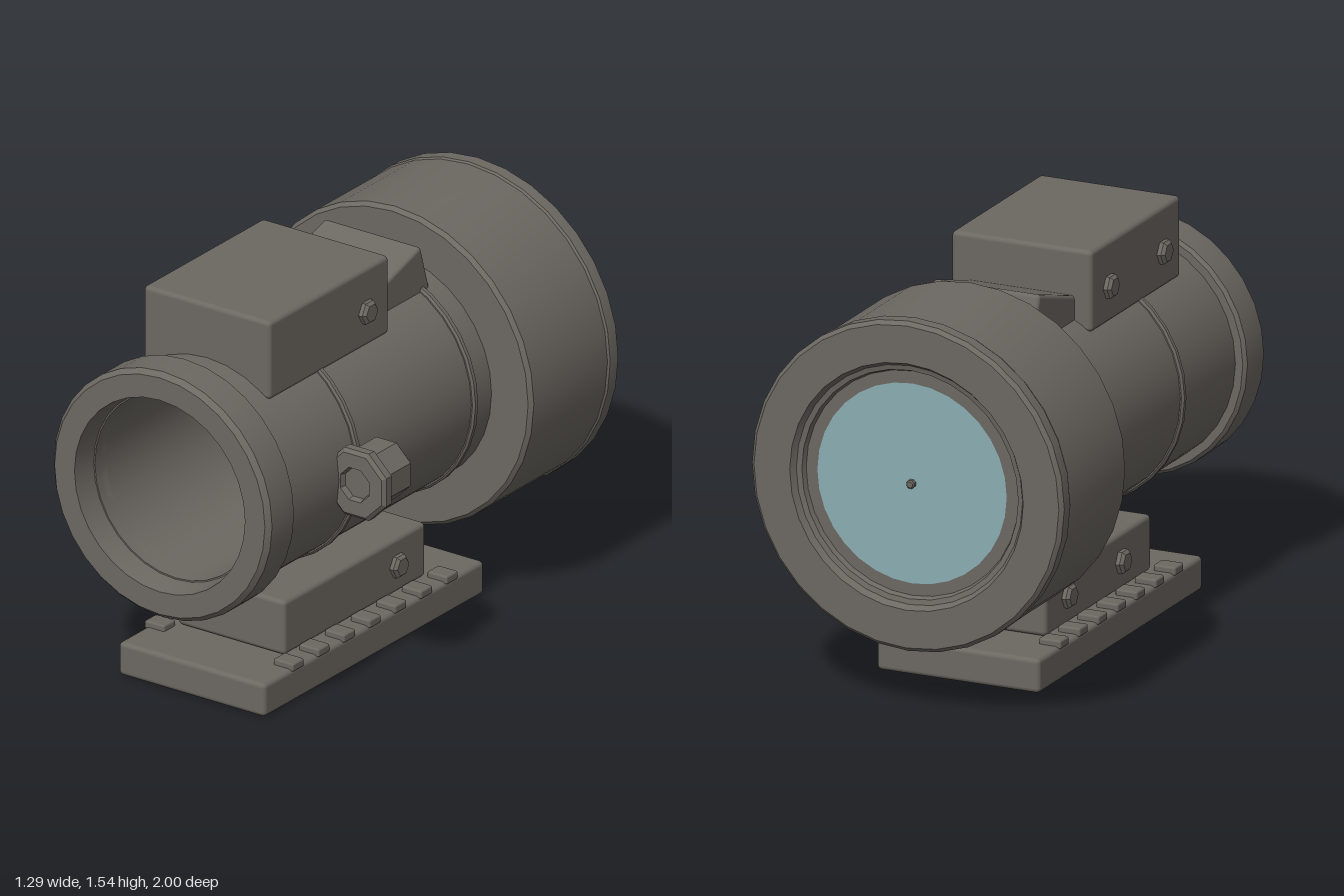
import * as THREE from 'three';
import { toCreasedNormals } from 'three/addons/utils/BufferGeometryUtils.js';
import { RoundedBoxGeometry } from 'three/addons/geometries/RoundedBoxGeometry.js';

const CX = -0.013; // optical axis
const CY = 0.88;

export function createModel() {
  const model = new THREE.Group();
  model.name = 'opticalSight';
  const metal = new THREE.MeshStandardMaterial({ color: 0x6c6862 });
  metal.name = 'darkMetal';
  const glass = new THREE.MeshStandardMaterial({ color: 0x8aacb2, side: THREE.DoubleSide });
  glass.name = 'paleBlueGlass';

  function add(name, geometry, x, y, z, material = metal) {
    const mesh = new THREE.Mesh(geometry, material);
    mesh.name = name;
    mesh.position.set(x, y, z);
    model.add(mesh);
    return mesh;
  }

  // Box given by its extents, with softened edges
  function box(name, x0, x1, y0, y1, z0, z1, r = 0.018) {
    const g = new RoundedBoxGeometry(x1 - x0, y1 - y0, z1 - z0, 2, r);
    return add(name, g, (x0 + x1) / 2, (y0 + y1) / 2, (z0 + z1) / 2);
  }

  // Profile of [radius, z] revolved about the z axis
  function turned(profile, sides = 32, crease = 0.5) {
    const g = new THREE.LatheGeometry(profile.map(([r, z]) => new THREE.Vector2(r, z)), sides);
    if (sides < 12) g.rotateY(Math.PI / sides);
    g.rotateX(Math.PI / 2);
    return toCreasedNormals(g, crease);
  }

  // Main tube, open through the middle
  add('mainTube', turned([[0.45, -0.6], [0.45, 0.9], [0.365, 0.9], [0.365, -0.95], [0.45, -0.95], [0.45, -0.6]]), CX, CY, 0);

  // Front collar with a slightly tapered opening
  add('frontCollar', turned([
    [0.365, 0.83], [0.48, 0.83], [0.493, 0.843], [0.493, 0.98], [0.475, 1],
    [0.385, 1], [0.365, 0.86], [0.365, 0.83],
  ]), CX, CY, 0);

  // Wide rear housing and its end rim
  add('rearHousing', turned([
    [0.44, -0.925], [0.63, -0.925], [0.63, -0.465], [0.615, -0.45], [0.44, -0.45], [0.44, -0.925],
  ]), CX, CY, 0);
  add('rearRim', turned([
    [0.39, -0.945], [0.43, -0.945], [0.44, -0.97], [0.46, -0.975], [0.475, -1], [0.62, -1],
    [0.635, -0.985], [0.635, -0.935], [0.625, -0.925], [0.39, -0.925], [0.39, -0.945],
  ]), CX, CY, 0);

  // Narrow bands around the tube
  for (const z of [0.385, -0.34]) {
    add('tubeBand', turned([
      [0.44, -0.016], [0.455, -0.016], [0.463, -0.008], [0.463, 0.008], [0.455, 0.016], [0.44, 0.016],
    ]), CX, CY, z);
  }

  // Rear lens with a small centre pin
  add('lens', new THREE.CircleGeometry(0.385, 32), CX, CY, -0.953, glass);
  add('lensPin', turned([[0, -0.02], [0.012, -0.02], [0.017, -0.015], [0.017, 0], [0, 0]], 8), CX, CY, -0.953);

  // Top block and the tilted block behind it
  box('topBlock', -0.3, 0.272, 1.23, 1.543, -0.04, 0.708);
  const tilted = new RoundedBoxGeometry(0.435, 0.2, 0.4, 2, 0.015);
  add('tiltedBlock', tilted, CX, 1.3, -0.17).rotation.x = 0.295;

  // Mounting block and base plate
  box('mountBlock', -0.255, 0.228, 0.138, 0.355, -0.33, 0.555);
  box('basePlate', -0.345, 0.317, 0.003, 0.135, -0.572, 0.802);

  // Row of small rail teeth on each side
  for (let i = 0; i < 7; i++) {
    const z = 0.595 - i * 0.16;
    box('railTooth', 0.232, 0.322, 0.125, 0.158, z - 0.036, z + 0.036, 0.008);
    box('railTooth', -0.35, -0.26, 0.125, 0.158, z - 0.036, z + 0.036, 0.008);
  }

  // Hexagonal bolt heads: one on the left, two on the right of each block
  const boltHead = turned([[0, -0.02], [0.048, -0.02], [0.048, 0.018], [0.036, 0.03], [0, 0.03]], 6);
  function bolt(side, x, y, z) {
    add('boltHead', boltHead, x, y, z).rotation.y = side * Math.PI / 2;
  }
  bolt(1, 0.27, 1.37, 0.105);
  bolt(-1, -0.298, 1.37, 0.105);
  bolt(-1, -0.298, 1.37, 0.555);
  bolt(1, 0.226, 0.247, -0.15);
  bolt(-1, -0.253, 0.247, -0.15);
  bolt(-1, -0.253, 0.247, 0.3);

  // Side knob with an eight-sided flange and a recessed front
  add('sideKnob', turned([[0, 0.29], [0.105, 0.29], [0.119, 0.305], [0.119, 0.455], [0, 0.455]], 8), 0.508, CY, 0);
  add('sideKnobFlange', turned([
    [0, 0.447], [0.135, 0.447], [0.145, 0.457], [0.145, 0.49], [0.13, 0.503],
    [0.07, 0.503], [0.062, 0.48], [0, 0.48],
  ], 8), 0.508, CY, 0);

  return model;
}
